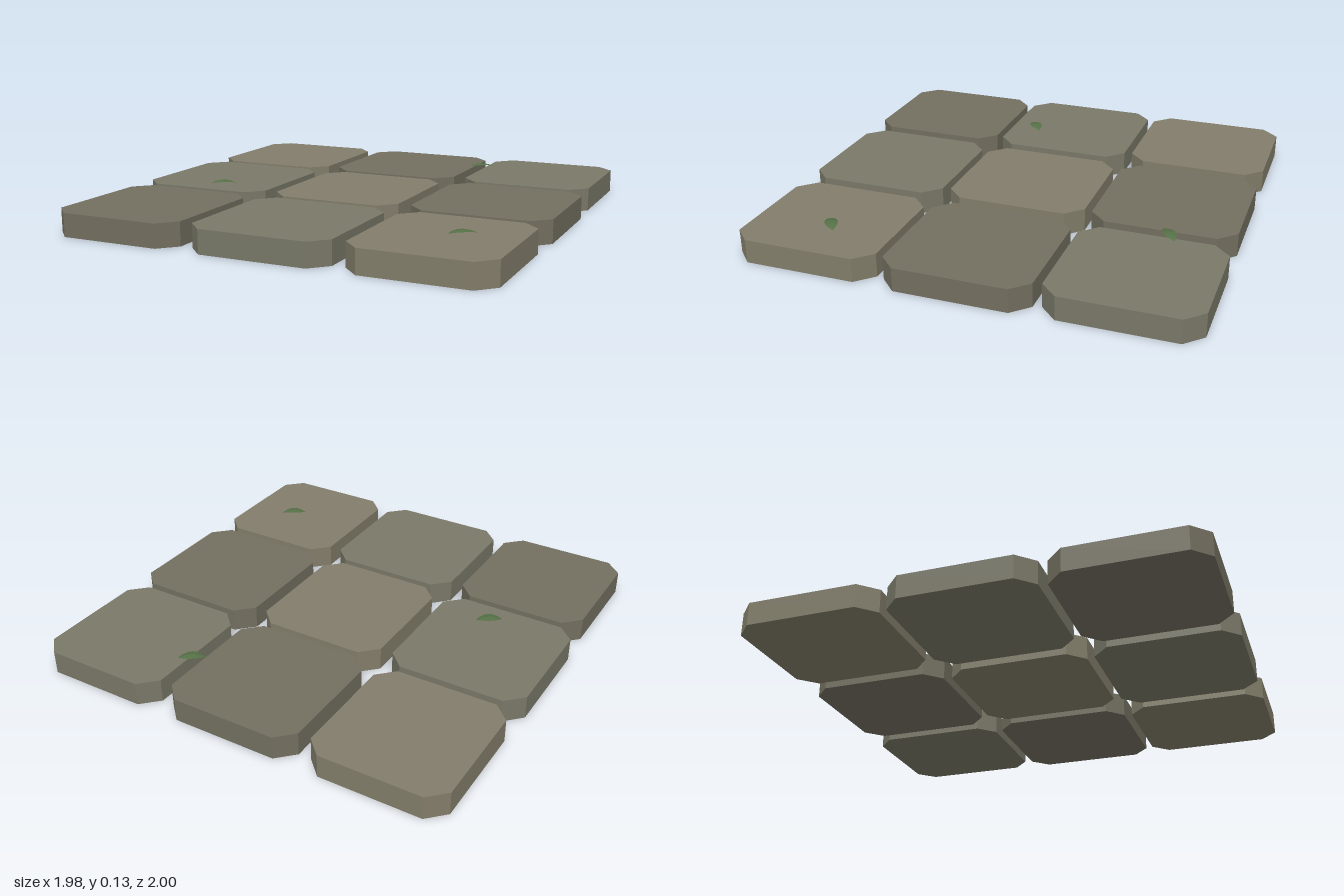
import * as THREE from 'three';

const HEIGHT = 0.105;

// Square paving slab with cut corners, resting on y = 0
function slabGeometry(w, d, c = 0.075) {
  const x = w / 2, z = d / 2;
  const outline = [
    [-x + c, -z], [x - c, -z], [x, -z + c], [x, z - c],
    [x - c, z], [-x + c, z], [-x, z - c], [-x, -z + c],
  ].map(([px, pz]) => new THREE.Vector2(px, pz));
  const geo = new THREE.ExtrudeGeometry(new THREE.Shape(outline), { depth: HEIGHT, bevelEnabled: false });
  return geo.rotateX(-Math.PI / 2);
}

// Pointed leaf, arched along its length and folded along its midrib
function leafGeometry(length = 0.122, width = 0.058) {
  const geo = new THREE.PlaneGeometry(2, 2, 6, 2).rotateX(-Math.PI / 2);
  const p = geo.attributes.position;
  for (let i = 0; i < p.count; i++) {
    const t = p.getX(i), s = p.getZ(i);
    const taper = 1 - t * t;
    p.setXYZ(i, t * length / 2, 0.015 * taper - 0.004 * Math.abs(s) * taper, s * taper * width / 2);
  }
  geo.computeVertexNormals();
  return geo;
}

export function createModel() {
  const model = new THREE.Group();
  model.name = 'pavingPatch';

  // Slabs: three stone tones shifting by one each row, alternating widths
  const stones = [0x827d6a, 0x736f60, 0x797868].map(
    (color) => new THREE.MeshStandardMaterial({ color, flatShading: true }));
  const slabs = [slabGeometry(0.608, 0.643), slabGeometry(0.63, 0.643)];
  for (let row = 0; row < 3; row++) {
    for (let col = 0; col < 3; col++) {
      const slab = new THREE.Mesh(slabs[(row + col) % 2], stones[(col - row + 3) % 3]);
      slab.name = `slab_${row}_${col}`;
      slab.position.set((col - 1) * 0.677, 0, (row - 1) * 0.678);
      model.add(slab);
    }
  }

  // Fallen leaves lying on the paving
  const leafMaterial = new THREE.MeshStandardMaterial({
    color: 0x557046, flatShading: true, side: THREE.DoubleSide,
  });
  const leaf = leafGeometry();
  [[0.36, -0.728], [-0.615, 0.205], [0.742, 0.652]].forEach(([x, z], i) => {
    const mesh = new THREE.Mesh(leaf, leafMaterial);
    mesh.name = `fallenLeaf_${i}`;
    mesh.position.set(x, 0.112, z);
    mesh.rotation.y = 0.6;
    model.add(mesh);
  });

  return model;
}
